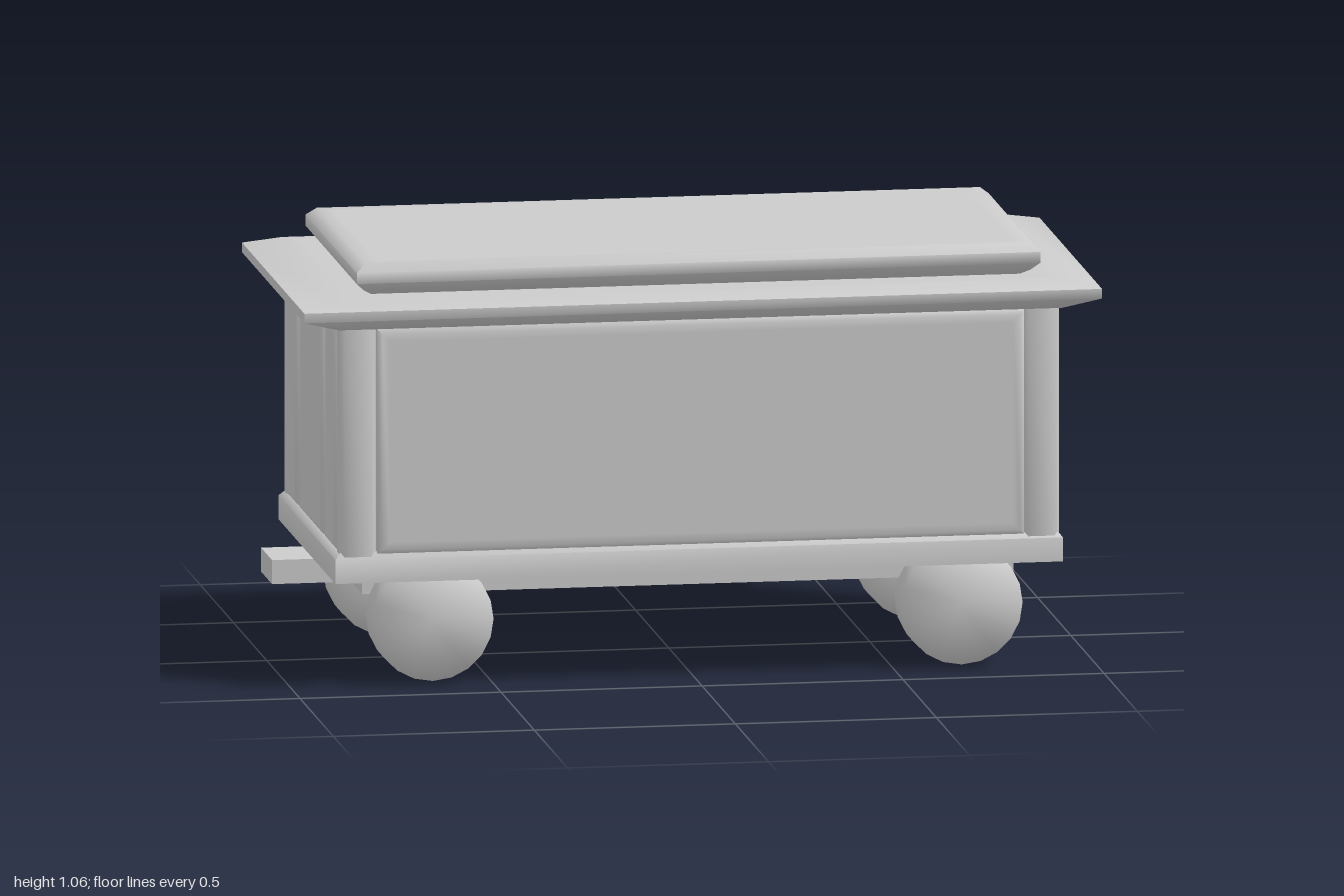
import * as THREE from 'three';
import { toCreasedNormals } from 'three/addons/utils/BufferGeometryUtils.js';

const material = new THREE.MeshStandardMaterial({ color: 0xcccccc });

// Stack of centred rectangles, each ring = [halfX, halfZ, y], closed at both ends.
function loft(rings) {
  const pos = [], index = [];
  for (const [hx, hz, y] of rings) pos.push(-hx, y, hz, hx, y, hz, hx, y, -hz, -hx, y, -hz);
  for (let r = 0; r < rings.length - 1; r++) {
    for (let i = 0; i < 4; i++) {
      const a = r * 4 + i, b = r * 4 + (i + 1) % 4;
      index.push(a, b, b + 4, a, b + 4, a + 4);
    }
  }
  const t = (rings.length - 1) * 4;
  index.push(0, 2, 1, 0, 3, 2, t, t + 1, t + 2, t, t + 2, t + 3);
  const geo = new THREE.BufferGeometry();
  geo.setAttribute('position', new THREE.Float32BufferAttribute(pos, 3));
  geo.setIndex(index);
  return toCreasedNormals(geo, 1.1);
}

// Upright bar with chamfered vertical edges.
function bar(w, d, h, c) {
  const x = w / 2, z = d / 2;
  const outline = [[-x + c, -z], [x - c, -z], [x, -z + c], [x, z - c], [x - c, z], [-x + c, z], [-x, z - c], [-x, -z + c]];
  const shape = new THREE.Shape(outline.map(([a, b]) => new THREE.Vector2(a, b)));
  const geo = new THREE.ExtrudeGeometry(shape, { depth: h, bevelEnabled: false });
  geo.rotateX(-Math.PI / 2);
  return toCreasedNormals(geo, 0.85);
}

// Raised panel facing +z, with its soft bevel running to the face.
function panel(w, h) {
  const x = w / 2, y = h / 2;
  return loft([
    [x, y, 0], [x, y, 0.018], [x - 0.012, y - 0.012, 0.028], [x - 0.03, y - 0.03, 0.028],
  ]).rotateX(Math.PI / 2);
}

export function createModel() {
  const model = new THREE.Group();
  const add = (name, geo, x = 0, y = 0, z = 0, turn = 0) => {
    const mesh = new THREE.Mesh(geo, material);
    mesh.name = name;
    mesh.position.set(x, y, z);
    mesh.rotation.y = turn;
    model.add(mesh);
    return mesh;
  };

  // Wagon body core and chamfered sill
  add('bodyCore', new THREE.BoxGeometry(1.75, 0.58, 0.81), 0.007, 0.62, 0);
  add('sill', loft([[0.905, 0.428, 0.27], [0.905, 0.428, 0.33], [0.89, 0.415, 0.345]]), 0.005);

  // Corner posts
  for (const sx of [-1, 1]) {
    for (const sz of [-1, 1]) {
      add('cornerPost', bar(0.09, 0.06, 0.58, 0.012), 0.007 + sx * 0.85, 0.33, sz * 0.394);
    }
  }

  // Raised panels: long walls, the plain end, and the end split in three
  const midY = 0.621, height = 0.562;
  add('frontPanel', panel(1.61, height), 0.01, midY, 0.4);
  add('backPanel', panel(1.61, height), 0.01, midY, -0.4, Math.PI);
  add('leftEndPanel', panel(0.73, height), 0.875, midY, 0.003, Math.PI / 2);
  add('rightEndMiddlePanel', panel(0.34, height), -0.864, midY, 0, -Math.PI / 2);
  for (const sz of [-1, 1]) {
    add('rightEndSidePanel', panel(0.155, height), -0.864, midY, sz * 0.291, -Math.PI / 2);
    add('endPost', bar(0.03, 0.042, 0.57, 0.006), -0.868, 0.335, sz * 0.192);
  }

  // Overhanging roof rim and raised lid
  add('roofRim', loft([
    [0.88, 0.4, 0.903], [0.9, 0.425, 0.903], [0.992, 0.47, 0.932],
    [0.992, 0.47, 0.956], [0.9, 0.428, 0.975], [0.86, 0.39, 0.975],
  ]), 0.008);
  add('lid', loft([
    [0.8, 0.33, 0.97], [0.83, 0.365, 0.99], [0.85, 0.387, 1.01],
    [0.85, 0.387, 1.037], [0.825, 0.368, 1.057], [0.79, 0.335, 1.057],
  ]), 0.01);

  // Handle on the back wall
  const handle = add('handle', loft([[0.125, 0.034, 0], [0.125, 0.034, 0.03], [0.12, 0.029, 0.05]]), 0.415, 0.585, -0.395);
  handle.rotation.x = -Math.PI / 2;

  // Underframe and step
  add('underframe', new THREE.BoxGeometry(1.62, 0.08, 0.45), 0.01, 0.243, 0);
  add('step', new THREE.BoxGeometry(0.26, 0.06, 0.165), -0.87, 0.237, -0.003);

  // Wheels, shaded softly all round
  const wheel = toCreasedNormals(new THREE.CylinderGeometry(0.151, 0.151, 0.1, 20).rotateX(Math.PI / 2), Math.PI);
  for (const x of [-0.648, 0.668]) {
    add('frontWheel', wheel, x, 0.16, 0.32);
    add('backWheel', wheel, x, 0.152, -0.32);
  }
  return model;
}
